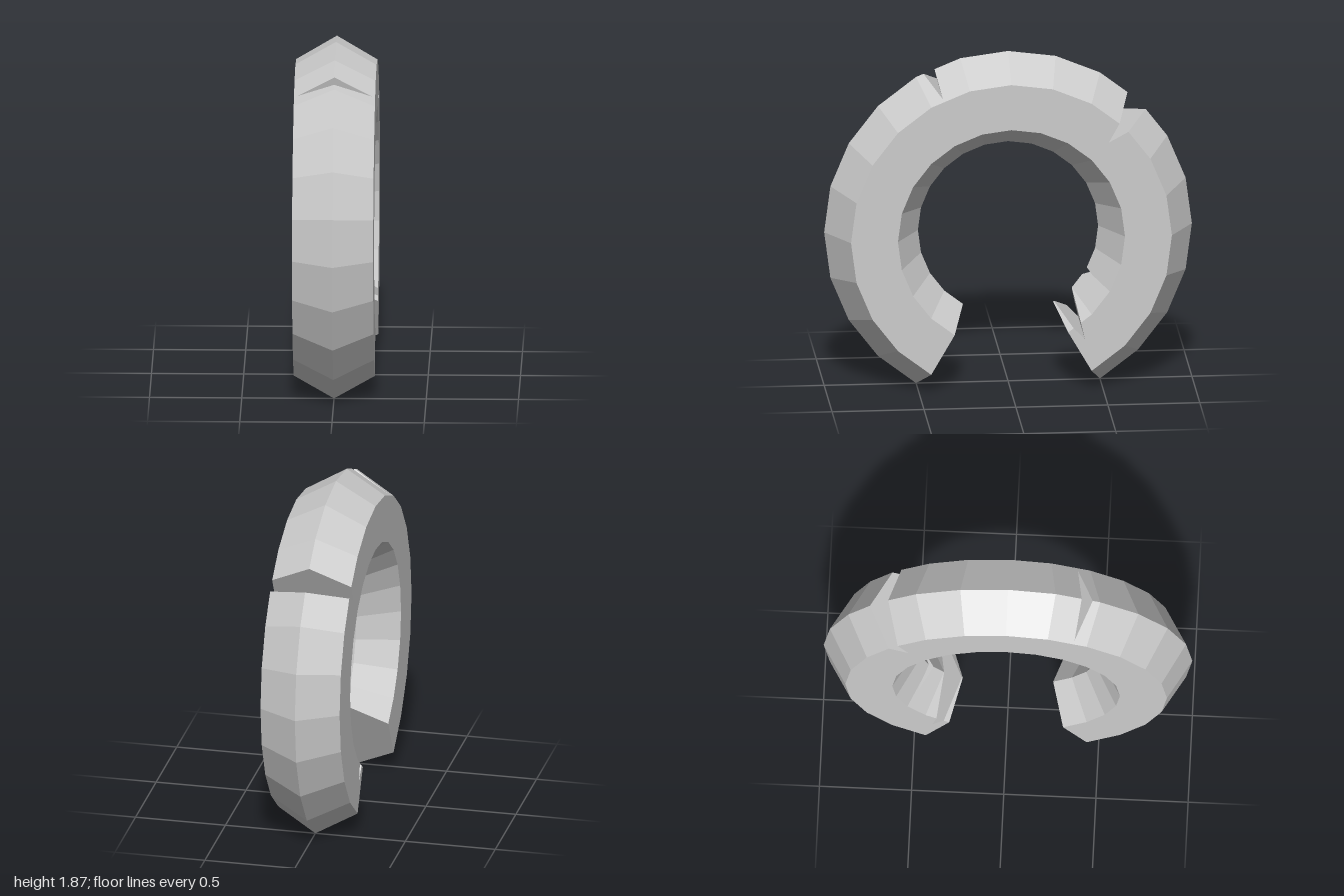
import * as THREE from 'three';

const CY = Math.sin(Math.PI / 3); // ring centre height; the open ends rest on the ground
const SEGMENTS = 24;
// hexagonal cross-section: [radius, half thickness]
const PROFILE = [[0.49, 0], [0.6175, 0.22], [0.8725, 0.22], [1, 0]];
// wedge cuts through the thickness: tip and two mouth corners as [z, y]
const CUTS = [
  [[0, CY], [0.5, 0], [-0.5, 0]],                    // bottom opening
  [[0.37, 1.66], [0.46, 1.749], [0.4, 1.774]],       // small outer nick
  [[-0.53, 1.4], [-0.65, 1.617], [-0.75, 1.52]],     // deep outer notch
  [[-0.485, 0.57], [-0.43, 0.63], [-0.4, 0.595]],    // small inner nick
  [[-0.4, 0.29], [-0.346, 0.521], [-0.25, 0.446]],   // inner notch near the end
];

// points are [half thickness, y, z]; side > 0 means left of the line a-b
const side = (p, a, b) => {
  const dz = b[0] - a[0], dy = b[1] - a[1];
  return (dz * (p[1] - a[1]) - dy * (p[2] - a[0])) / Math.hypot(dz, dy);
};

function area(poly) {
  let s = 0;
  poly.forEach((p, i) => {
    const q = poly[(i + 1) % poly.length];
    s += p[2] * q[1] - q[2] * p[1];
  });
  return s / 2;
}

// keep the part of a convex polygon to the left (sign 1) or right (sign -1) of a-b
function clip(poly, a, b, sign) {
  const out = [];
  poly.forEach((p, i) => {
    const q = poly[(i + 1) % poly.length];
    const dp = side(p, a, b) * sign, dq = side(q, a, b) * sign;
    if (dp >= -1e-7) out.push(p);
    if ((dp > 1e-7 && dq < -1e-7) || (dp < -1e-7 && dq > 1e-7)) {
      const t = dp / (dp - dq);
      out.push(p.map((v, k) => v + (q[k] - v) * t));
    }
  });
  return out.length > 2 && area(out) > 1e-7 ? out : null;
}

// lengthen a wedge beyond the ring and order it counter-clockwise
function wedge([tip, a, b]) {
  const far = (p) => [tip[0] + (p[0] - tip[0]) * 1.5, tip[1] + (p[1] - tip[1]) * 1.5];
  const A = far(a), B = far(b);
  return side([0, B[1], B[0]], tip, A) > 0 ? [tip, A, B] : [tip, B, A];
}

function addPolygon(list, pts) {
  for (let i = 1; i < pts.length - 1; i++) list.push(...pts[0], ...pts[i], ...pts[i + 1]);
}

function makeMesh(name, positions, material) {
  const g = new THREE.BufferGeometry();
  g.setAttribute('position', new THREE.Float32BufferAttribute(positions, 3));
  g.computeVertexNormals();
  const mesh = new THREE.Mesh(g, material);
  mesh.name = name;
  return mesh;
}

export function createModel() {
  const group = new THREE.Group();
  group.name = 'notchedRing';
  const material = new THREE.MeshStandardMaterial({ color: 0xcccccc, flatShading: true });

  // full ring as convex cells, one per segment and profile band
  let cells = [];
  const at = ([r, h], i) => {
    const t = (i / SEGMENTS) * Math.PI * 2;
    return [h, CY + r * Math.sin(t), r * Math.cos(t)];
  };
  for (let i = 0; i < SEGMENTS; i++) {
    for (let k = 0; k < 3; k++) {
      const [p, q] = [PROFILE[k], PROFILE[k + 1]];
      cells.push([at(p, i), at(q, i), at(q, i + 1), at(p, i + 1)]);
    }
  }

  // take out each wedge, leaving a wall wherever its sides meet the ring
  const walls = [];
  const mirror = ([x, y, z]) => [-x, y, z];
  for (const cut of CUTS.map(wedge)) {
    const edges = cut.map((a, i) => [a, cut[(i + 1) % 3]]);
    const kept = [];
    for (const cell of cells) {
      let rest = cell;
      const pieces = [];
      for (const [a, b] of edges) {
        const outside = clip(rest, a, b, -1);
        if (outside) pieces.push(outside);
        rest = clip(rest, a, b, 1);
        if (!rest) break;
      }
      if (!rest) {
        kept.push(cell);
        continue;
      }
      kept.push(...pieces);
      rest.forEach((p, i) => {
        const q = rest[(i + 1) % rest.length];
        const onCut = edges.some(([a, b]) => Math.abs(side(p, a, b)) < 1e-6 && Math.abs(side(q, a, b)) < 1e-6);
        if (onCut) addPolygon(walls, [mirror(p), mirror(q), q, p]);
      });
    }
    cells = kept;
  }

  // both faces of every remaining cell
  const skin = [];
  for (const cell of cells) {
    addPolygon(skin, cell.map(mirror));
    addPolygon(skin, [...cell].reverse());
  }

  group.add(makeMesh('ringBody', skin, material), makeMesh('cutFaces', walls, material));
  return group;
}
